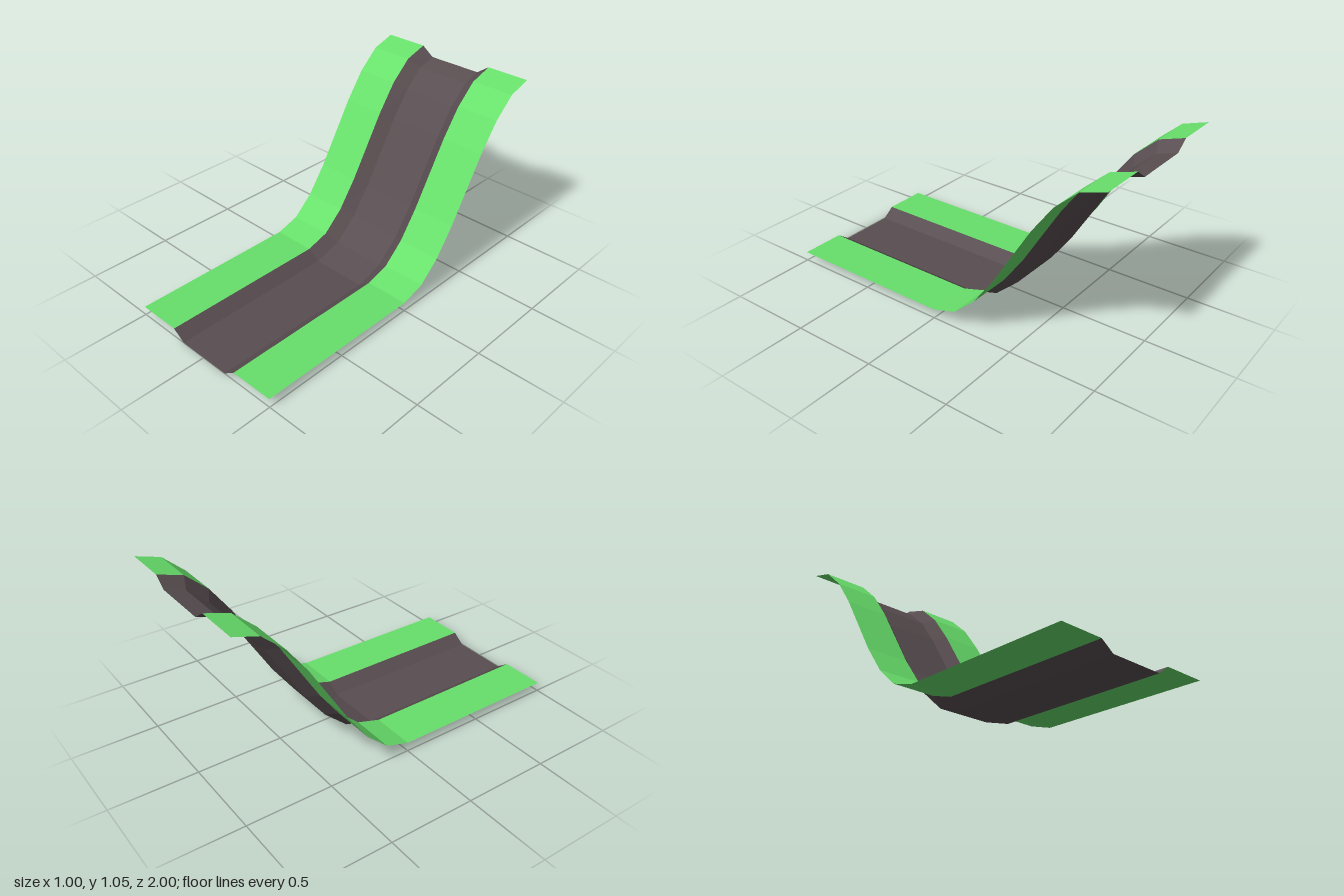
import * as THREE from 'three';

const DEPTH = 0.053; // how far the track bed sits below the banks

export function createModel() {
  const grass = new THREE.MeshStandardMaterial({ color: 0x68e06b, side: THREE.DoubleSide, flatShading: true });
  grass.name = 'grass green';
  const dirt = new THREE.MeshStandardMaterial({ color: 0x594e51, side: THREE.DoubleSide, flatShading: true });
  dirt.name = 'dark track';

  // Centre line of the bank surface as (forward, height): flat run, then an S-shaped climb
  const climb = new THREE.CubicBezierCurve(
    new THREE.Vector2(0, 0), new THREE.Vector2(0.4, 0),
    new THREE.Vector2(0.6, 1), new THREE.Vector2(1, 1));
  const stations = [{ p: new THREE.Vector2(-1, 0), t: new THREE.Vector2(1, 0) }];
  for (let i = 0; i <= 8; i++) {
    const t = i === 0 || i === 8 ? new THREE.Vector2(1, 0) : climb.getTangent(i / 8);
    stations.push({ p: climb.getPoint(i / 8), t });
  }

  // Sweep one cross-section edge, [x, depth] to [x, depth], along the stations
  function strip(name, material, a, b) {
    const positions = [];
    const indices = [];
    stations.forEach(({ p, t }, i) => {
      for (const [x, d] of [a, b]) {
        positions.push(x, p.y + DEPTH - t.x * d, -(p.x + t.y * d));
      }
      if (i > 0) {
        const k = 2 * (i - 1);
        indices.push(k, k + 1, k + 3, k, k + 3, k + 2);
      }
    });
    const geometry = new THREE.BufferGeometry();
    geometry.setAttribute('position', new THREE.Float32BufferAttribute(positions, 3));
    geometry.setIndex(indices);
    const flat = geometry.toNonIndexed();
    flat.computeVertexNormals();
    const mesh = new THREE.Mesh(flat, material);
    mesh.name = name;
    return mesh;
  }

  const model = new THREE.Group();
  model.name = 'trackSlope';
  model.add(
    strip('rightBank', grass, [-0.5, 0], [-0.24, 0]),
    strip('rightTrackSide', dirt, [-0.24, 0], [-0.166, DEPTH]),
    strip('trackBed', dirt, [-0.166, DEPTH], [0.166, DEPTH]),
    strip('leftTrackSide', dirt, [0.166, DEPTH], [0.24, 0]),
    strip('leftBank', grass, [0.24, 0], [0.5, 0]),
  );
  return model;
}
